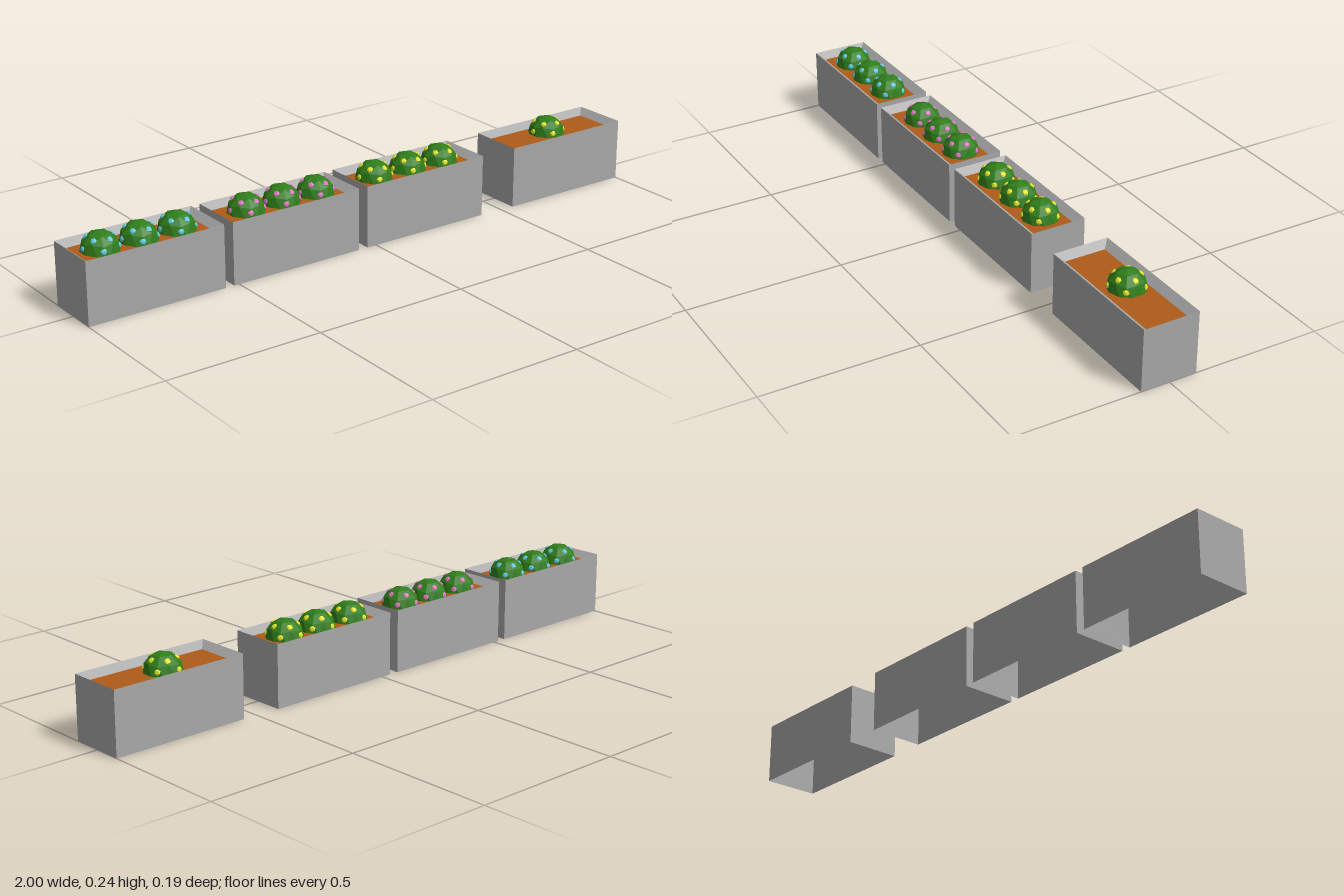
import * as THREE from 'three';

const WIDTH = 0.453, DEPTH = 0.182, HEIGHT = 0.2, INSET = 0.024, SOIL_Y = 0.18;
const BUSH_R = 0.06;

const paint = (color, side = THREE.FrontSide) => new THREE.MeshStandardMaterial({ color, flatShading: true, side });
const wallMat = paint(0xa9a9a9, THREE.DoubleSide);
const soilMat = paint(0xae5c18, THREE.DoubleSide);
const leafMat = paint(0x2f7d1a);

function add(parent, name, geometry, material, x = 0, y = 0, z = 0) {
  const mesh = new THREE.Mesh(geometry, material);
  mesh.name = name;
  mesh.position.set(x, y, z);
  parent.add(mesh);
  return mesh;
}

// Thin shell joining rectangular loops: outer walls, then the slope down to the soil
function shellGeometry() {
  const loop = (w, d, y) => [[-w, y, d], [w, y, d], [w, y, -d], [-w, y, -d]];
  const w = WIDTH / 2, d = DEPTH / 2;
  const loops = [loop(w, d, 0), loop(w, d, HEIGHT), loop(w - INSET, d - INSET, SOIL_Y)];
  const positions = [];
  for (let l = 0; l < loops.length - 1; l++) {
    for (let i = 0; i < 4; i++) {
      const j = (i + 1) % 4;
      const [a, b, c, e] = [loops[l][i], loops[l][j], loops[l + 1][j], loops[l + 1][i]];
      positions.push(...a, ...b, ...c, ...a, ...c, ...e);
    }
  }
  const g = new THREE.BufferGeometry();
  g.setAttribute('position', new THREE.Float32BufferAttribute(positions, 3));
  g.computeVertexNormals();
  return g;
}

const shellGeo = shellGeometry();
const soilGeo = new THREE.PlaneGeometry(WIDTH - 2 * INSET, DEPTH - 2 * INSET).rotateX(-Math.PI / 2);
// Faceted ball turned so that one corner points straight up
const leafGeo = new THREE.IcosahedronGeometry(BUSH_R, 1).rotateZ(Math.atan(2 / (1 + Math.sqrt(5))));
const bloomGeo = new THREE.IcosahedronGeometry(0.01, 0).scale(1, 0.45, 1);

// Bush with two rings of small blooms
function makeBush(bloomMat) {
  const bush = new THREE.Group();
  bush.name = 'bush';
  add(bush, 'leaves', leafGeo, leafMat);
  const up = new THREE.Vector3(0, 1, 0);
  for (const [count, polar, turn] of [[5, 0.78, Math.PI / 2], [5, 1.32, 0.94]]) {
    for (let i = 0; i < count; i++) {
      const dir = new THREE.Vector3().setFromSphericalCoords(1, polar, turn + (i / count) * Math.PI * 2);
      const bloom = add(bush, 'bloom', bloomGeo, bloomMat);
      bloom.position.copy(dir).multiplyScalar(BUSH_R * 0.96);
      bloom.quaternion.setFromUnitVectors(up, dir);
    }
  }
  return bush;
}

function makePlanter(bloomMat, bushXs, bushZ) {
  const planter = new THREE.Group();
  planter.name = 'planter';
  add(planter, 'planterShell', shellGeo, wallMat);
  add(planter, 'soil', soilGeo, soilMat, 0, SOIL_Y, 0);
  for (const x of bushXs) {
    const bush = makeBush(bloomMat);
    bush.position.set(x, 0.179, bushZ);
    planter.add(bush);
  }
  return planter;
}

export function createModel() {
  const model = new THREE.Group();
  model.name = 'planterRow';
  const blue = paint(0x62c8e0), pink = paint(0xdc78c0), yellow = paint(0xe6e628);
  // Centre x, centre z, bloom colour, bush offsets in x, bush z
  const row = [
    [-0.7735, -0.002, blue, [-0.128, -0.002, 0.124], -0.003],
    [-0.291, -0.002, pink, [-0.12, 0.006, 0.13], -0.003],
    [0.194, -0.002, yellow, [-0.133, -0.003, 0.123], -0.003],
    [0.7735, 0.002, yellow, [-0.003], -0.009],
  ];
  for (const [x, z, mat, bushXs, bushZ] of row) {
    const planter = makePlanter(mat, bushXs, bushZ);
    planter.position.set(x, 0, z);
    model.add(planter);
  }
  return model;
}
